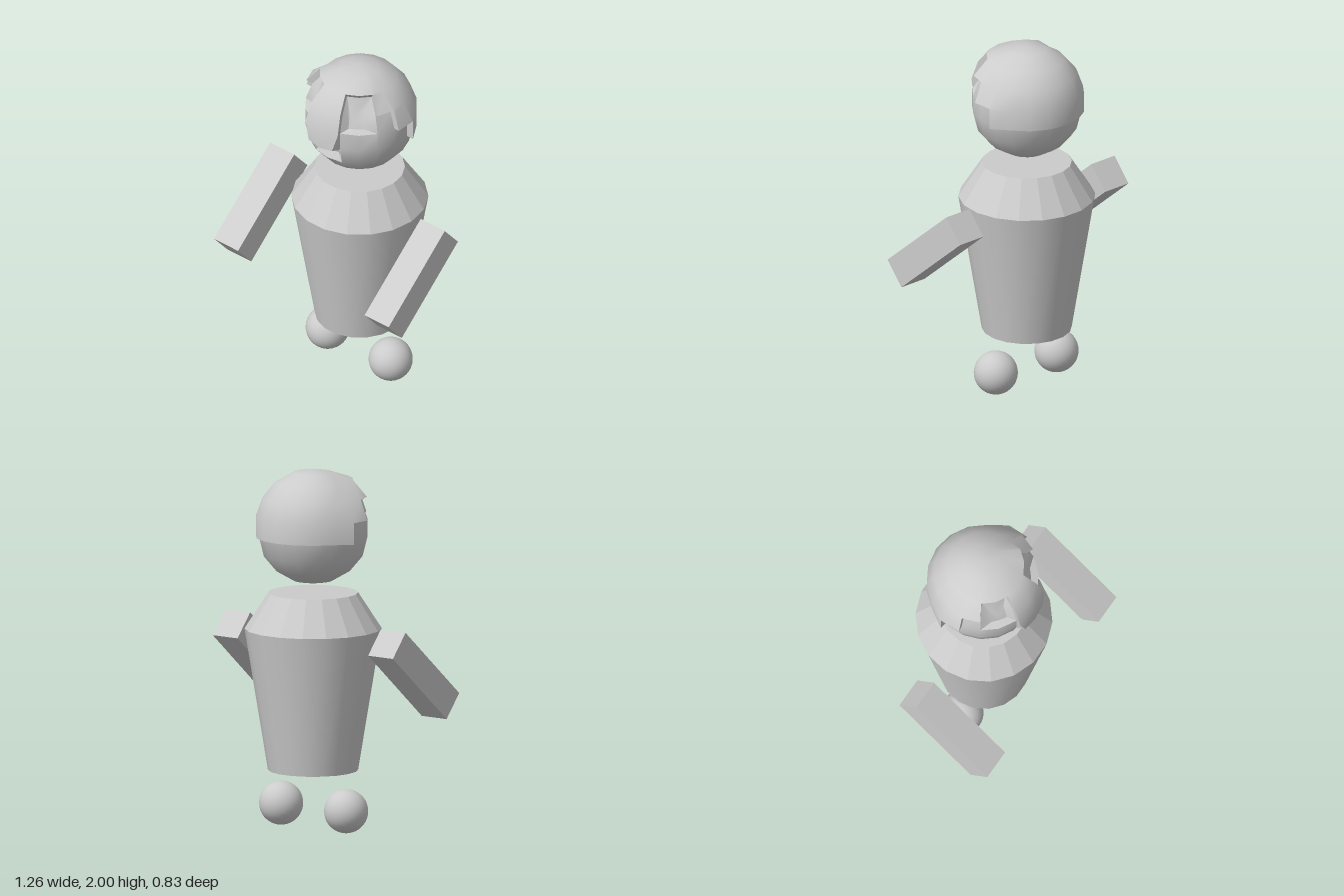
import * as THREE from 'three';
import { toCreasedNormals } from 'three/addons/utils/BufferGeometryUtils.js';

const CX = 0.02, CZ = -0.045; // axis of body and head
const STEP = 20;              // head grid in degrees
const rad = THREE.MathUtils.degToRad;

const smoothMat = new THREE.MeshStandardMaterial({ color: 0xcccccc });
const flatMat = new THREE.MeshStandardMaterial({ color: 0xcccccc, flatShading: true });

function add(parent, name, geometry, material, x, y, z) {
  const mesh = new THREE.Mesh(geometry, material);
  mesh.name = name;
  mesh.position.set(x, y, z);
  parent.add(mesh);
  return mesh;
}

// Point at azimuth a (0 = front, + = left side) and latitude l, in degrees
function polar(a, l, r) {
  const c = Math.cos(rad(l)) * r;
  return new THREE.Vector3(c * Math.sin(rad(a)), r * Math.sin(rad(l)), c * Math.cos(rad(a)));
}

// Collects quads and triangles, dropping those that collapse at the poles
class Surface {
  points = [];
  tri(a, b, c) {
    const area = b.clone().sub(a).cross(c.clone().sub(a)).length();
    if (area > 1e-7) for (const p of [a, b, c]) this.points.push(p);
  }
  quad(a, b, c, d) { this.tri(a, b, c); this.tri(a, c, d); }
  geometry() {
    return toCreasedNormals(new THREE.BufferGeometry().setFromPoints(this.points), 0.65);
  }
}

// Cell tests: column i starts at azimuth 20i, row j at latitude -90 + 20(j - 0.5)
const latOf = (j) => (j === 0 ? -90 : j === 9 ? 90 : -90 + j * STEP);
const middle = (i) => Math.abs((((i + 9 + 18) % 18) - 9 + 0.5) * STEP);
function isHelmet(i, j) {
  const c = middle(i);
  if (j >= 7) return true;
  if (j < 4) return false;
  return c < 20 || c > [100, 80, 60][j - 4]; // nose guard and stepped sides
}
function isSocket(i, j) {
  const c = middle(i);
  return ((j === 5 || j === 6) && c > 20 && c < 60) || (j === 3 && c < 20);
}

const facePoint = (i, j) => polar(i * STEP, latOf(j), j >= 4 ? 0.305 : 0.316);

// Helmet vertices flare outwards along the front rim
function helmetPoint(i, j) {
  let a = i * STEP, l = latOf(j);
  const around = [[i, j], [i - 1, j], [i, j - 1], [i - 1, j - 1]];
  const rim = Math.abs(a) <= 100 && j < 8 && around.some(([p, q]) => !isHelmet(p, q));
  const nose = i === 0 && j < 8 && j > 3;
  if (j === 4 && Math.abs(i) === 1) { a *= 0.72; l = -8; } // tapered nose tip
  return polar(a, l, rim || nose ? 0.344 : 0.32);
}

// Recess with sloping sides, from an outer to a smaller inner rectangle
function addSocket(s, outer, inner, depthR, rim) {
  const loop = [[0, 0], [0.5, 0], [1, 0], [1, 0.5], [1, 1], [0.5, 1], [0, 1], [0, 0.5]];
  const at = ([a0, a1, l0, l1], [u, v], r) => polar(a0 + (a1 - a0) * u, l0 + (l1 - l0) * v, r);
  const out = loop.map((p) => at(outer, p, rim(p[1])));
  const floor = loop.map((p) => at(inner, p, depthR));
  const centre = at(inner, [0.5, 0.5], depthR);
  loop.forEach((_, k) => {
    const n = (k + 1) % loop.length;
    s.quad(out[k], out[n], floor[n], floor[k]);
    s.tri(floor[k], floor[n], centre);
  });
}

function buildHead() {
  const head = new THREE.Group();
  head.name = 'head';
  const face = new Surface(), helmet = new Surface();
  for (let i = -9; i < 9; i++) {
    for (let j = 0; j < 9; j++) {
      const corners = [[i, j], [i + 1, j], [i + 1, j + 1], [i, j + 1]];
      if (!isHelmet(i, j)) {
        if (!isSocket(i, j)) face.quad(...corners.map((c) => facePoint(...c)));
        continue;
      }
      helmet.quad(...corners.map((c) => helmetPoint(...c)));
      // Rim wall wherever the helmet borders the face
      const neighbours = [[i, j - 1], [i + 1, j], [i, j + 1], [i - 1, j]];
      neighbours.forEach((nb, k) => {
        if (isHelmet(...nb)) return;
        const A = corners[k], B = corners[(k + 1) % 4];
        helmet.quad(facePoint(...A), facePoint(...B), helmetPoint(...B), helmetPoint(...A));
      });
    }
  }
  // Eyes and mouth
  addSocket(face, [20, 60, 10, 50], [27, 47, 14, 34], 0.265, () => 0.305);
  addSocket(face, [-60, -20, 10, 50], [-47, -27, 14, 34], 0.265, () => 0.305);
  addSocket(face, [-20, 20, -30, -10], [-14, 14, -24, -13], 0.275, (v) => 0.316 - 0.011 * v);
  add(head, 'face', face.geometry(), smoothMat, 0, 0, 0);
  add(head, 'helmet', helmet.geometry(), smoothMat, 0, 0, 0);
  head.position.set(CX, 1.68, CZ);
  return head;
}

export function createModel() {
  const model = new THREE.Group();
  model.name = 'figure';

  // Tapered body with faceted shoulders
  const cone = (top, bottom, h, open) =>
    new THREE.CylinderGeometry(top, bottom, h, 18, 1, open, Math.PI / 2);
  add(model, 'torso', cone(0.375, 0.247, 0.784, false), smoothMat, CX, 0.725, CZ);
  add(model, 'shoulders', cone(0.247, 0.375, 0.198, false), flatMat, CX, 1.216, CZ);

  model.add(buildHead());

  // Arms slope forwards and down; feet are loose balls
  for (const side of [-1, 1]) {
    const label = side > 0 ? 'left' : 'right';
    const arm = add(model, label + 'Arm', new THREE.BoxGeometry(0.174, 0.171, 0.612),
      flatMat, side * 0.545 - 0.002, 0.897, 0.128);
    arm.rotation.x = 0.7;
    add(model, label + 'Foot', new THREE.SphereGeometry(0.121, 32, 20),
      smoothMat, CX + side * 0.228, 0.125, -0.04);
  }
  return model;
}
